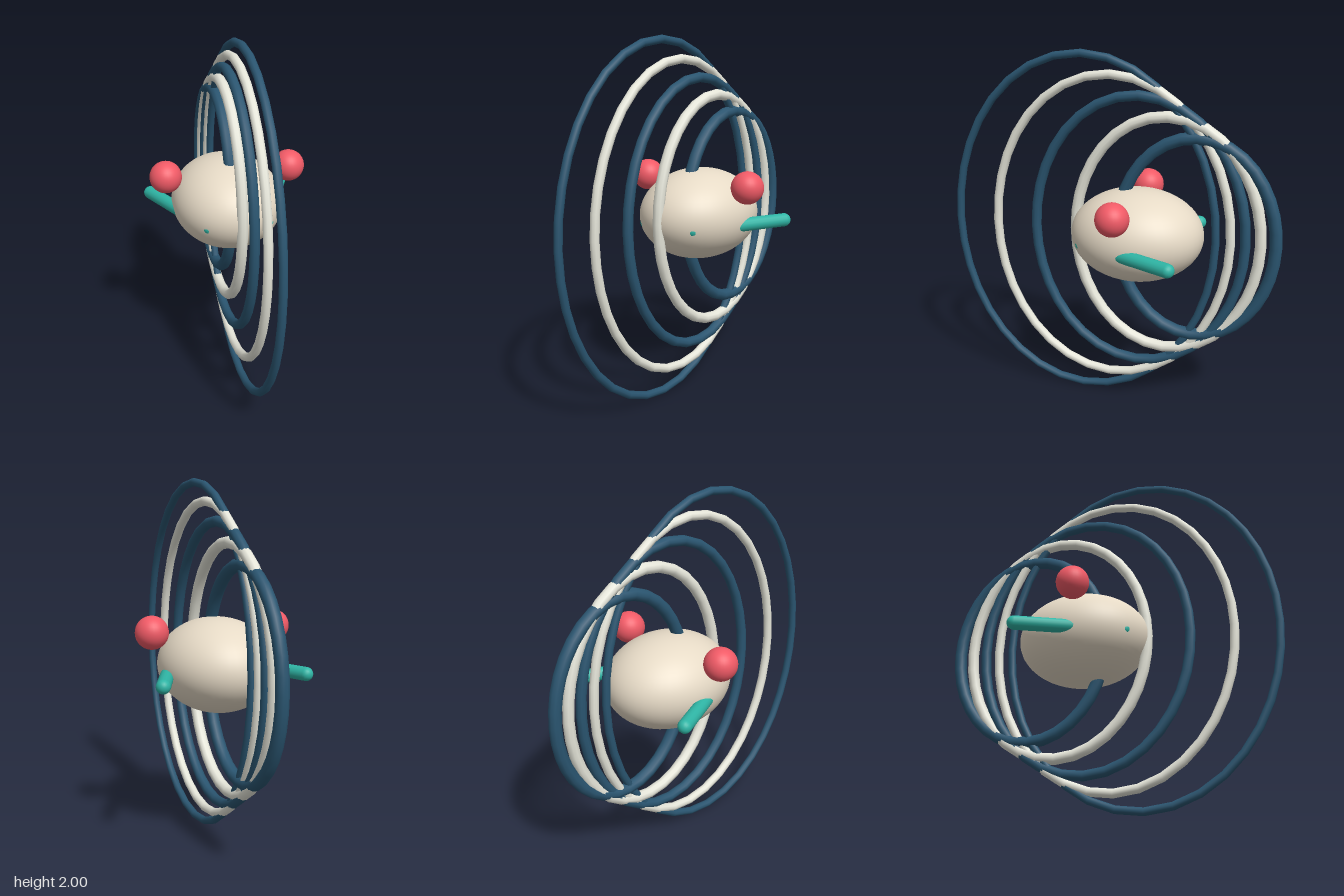
import * as THREE from 'three';

const mat = (color) => new THREE.MeshStandardMaterial({ color });

// Closed ellipse in the x = 0 plane
class RingCurve extends THREE.Curve {
  constructor(ry, rz) {
    super();
    this.ry = ry;
    this.rz = rz;
  }
  getPoint(t, target = new THREE.Vector3()) {
    const a = t * Math.PI * 2;
    return target.set(0, Math.sin(a) * this.ry, Math.cos(a) * this.rz);
  }
}

export function createModel() {
  const model = new THREE.Group();
  model.name = 'ringedPod';
  const navy = mat(0x2a5570), ivory = mat(0xe6e6da), cream = mat(0xe6dac6);
  const red = mat(0xf05a66), teal = mat(0x2fb5a5);
  const midY = 1.0;

  const add = (name, geometry, material, x, y, z) => {
    const mesh = new THREE.Mesh(geometry, material);
    mesh.name = name;
    mesh.position.set(x, y, z);
    model.add(mesh);
    return mesh;
  };

  // Egg-shaped body
  const body = add('body', new THREE.SphereGeometry(1, 48, 32), cream, 0, 1.005, -0.155);
  body.scale.set(0.315, 0.257, 0.371);

  // Five nested rings, smaller and thicker towards the back
  for (let i = 0; i < 5; i++) {
    const tube = 0.022 + i * 0.003;
    const ry = 0.977 - i * 0.1035;
    const ring = new THREE.TubeGeometry(new RingCurve(ry, ry * 0.78), 36, tube, 10, true);
    add('ring' + (i + 1), ring, i % 2 ? ivory : navy, 0, midY, 0.168 - i * 0.161);
  }

  // Side balls and swept-back rods, mirrored
  for (const s of [1, -1]) {
    const side = s > 0 ? 'left' : 'right';
    add(side + 'Ball', new THREE.SphereGeometry(0.09, 32, 20), red, s * 0.355, 1.193, -0.12);

    const inner = new THREE.Vector3(s * 0.163, 0.97, 0.112);
    const outer = new THREE.Vector3(s * 0.402, 0.97, -0.425);
    const dir = outer.clone().sub(inner);
    const mid = inner.clone().add(outer).multiplyScalar(0.5);
    const rod = add(side + 'Rod', new THREE.CapsuleGeometry(0.038, dir.length(), 8, 16), teal, mid.x, mid.y, mid.z);
    rod.quaternion.setFromUnitVectors(new THREE.Vector3(0, 1, 0), dir.normalize());
  }

  return model;
}
